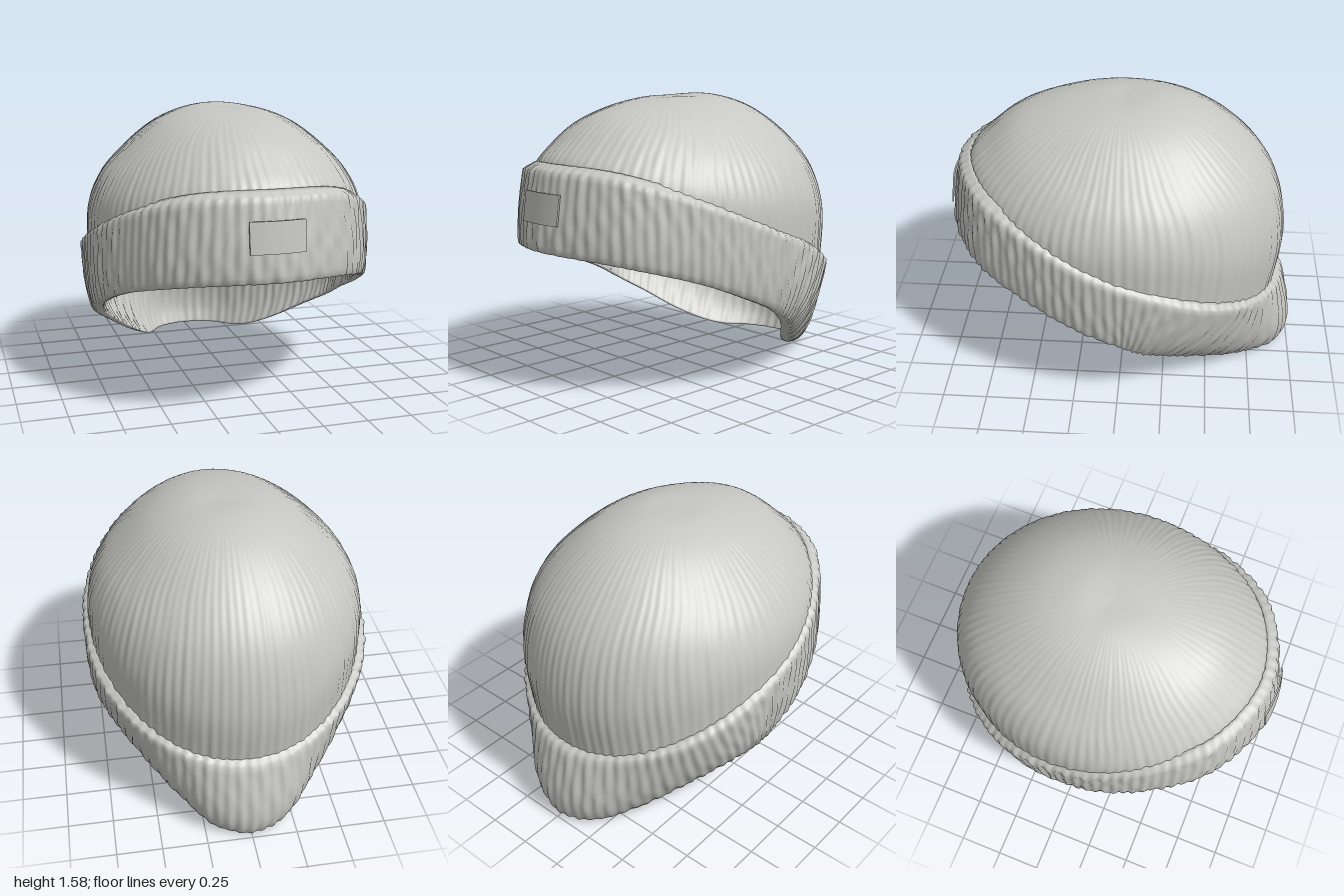
import * as THREE from 'three';

const SEGMENTS = 576, RIBS = 96, TAU = Math.PI * 2;

// Closed-around surface from rows of points; point(j, s) gives a Vector3, s in 0..1 around
function wrapSurface(rows, point, closeRows) {
  const pos = [], index = [];
  for (let j = 0; j < rows; j++) {
    for (let i = 0; i < SEGMENTS; i++) pos.push(...point(j, i / SEGMENTS).toArray());
  }
  const last = closeRows ? rows : rows - 1;
  for (let j = 0; j < last; j++) {
    for (let i = 0; i < SEGMENTS; i++) {
      const k = (i + 1) % SEGMENTS, n = ((j + 1) % rows) * SEGMENTS, m = j * SEGMENTS;
      index.push(m + i, n + i, m + k, m + k, n + i, n + k);
    }
  }
  const geo = new THREE.BufferGeometry();
  geo.setAttribute('position', new THREE.Float32BufferAttribute(pos, 3));
  geo.setIndex(index);
  geo.computeVertexNormals();
  return geo;
}

// Knitted ribs with slightly irregular wrinkles
function ribs(s, v) {
  const a = s * TAU;
  return 0.004 * Math.cos(a * RIBS)
    + 0.002 * Math.sin(a * 41 + 3 * Math.sin(v * 5 + a * 3))
    + 0.002 * Math.sin(a * 67 + 4 * Math.sin(v * 4 - a * 5));
}

// Smooth meridian through (radius, height) pairs
const meridian = (pairs) => new THREE.CatmullRomCurve3(pairs.map(([r, y]) => new THREE.Vector3(r, y, 0)));

// Closed loop from the points of its left half, mirrored to the right
function mirroredLoop(half) {
  const left = half.map((p) => new THREE.Vector3(...p));
  const right = left.slice(1, -1).reverse().map((p) => new THREE.Vector3(-p.x, p.y, p.z));
  const curve = new THREE.CatmullRomCurve3([...left, ...right], true);
  curve.arcLengthDivisions = 1000;
  return curve;
}

// Crown: front, side and back meridians blended around the apex
function crownGeometry() {
  const front = meridian([[0, 1.57], [0.2, 1.56], [0.4, 1.525], [0.6, 1.455], [0.76, 1.335], [0.86, 1.235], [0.88, 1.14]]);
  const side = meridian([[0, 1.57], [0.2, 1.56], [0.4, 1.48], [0.6, 1.31], [0.7, 1.19], [0.767, 1.03], [0.78, 0.74]]);
  const back = meridian([[0, 1.57], [0.22, 1.578], [0.45, 1.515], [0.68, 1.355], [0.85, 1.125], [0.922, 0.8], [0.88, 0.41]]);
  const rows = 48;
  return wrapSurface(rows, (j, s) => {
    const v = j / (rows - 1), sin = Math.sin(s * TAU), cos = Math.cos(s * TAU);
    const across = side.getPoint(v), along = (cos > 0 ? front : back).getPoint(v);
    const relief = ribs(s, v) * Math.min(1, v * 1.4) * 0.5;
    return new THREE.Vector3(
      (across.x + relief) * sin,
      across.y * sin * sin + along.y * cos * cos,
      (along.x + relief) * cos + 0.02 * (1 - v));
  }, false);
}

// Turned-up cuff: a closed wall section carried between the rim and the fold
function cuffGeometry() {
  const rim = mirroredLoop([
    [0, 0.78, 0.99], [0.455, 0.74, 0.8], [0.68, 0.645, 0.48], [0.765, 0.53, 0.2], [0.765, 0.44, 0],
    [0.73, 0.365, -0.12], [0.64, 0.28, -0.25], [0.475, 0.145, -0.44], [0.33, 0.045, -0.66],
    [0.19, 0.012, -0.88], [0, 0.002, -0.962]]);
  const fold = mirroredLoop([
    [0, 1.2, 0.935], [0.43, 1.17, 0.79], [0.68, 1.06, 0.485], [0.79, 0.94, 0.2], [0.81, 0.86, 0],
    [0.79, 0.765, -0.25], [0.72, 0.675, -0.45], [0.58, 0.58, -0.65], [0.4, 0.51, -0.8],
    [0.2, 0.47, -0.9], [0, 0.46, -0.935]]);
  // Section rows: [height share, outward offset, rib strength], sloping in to the crown at the top
  const section = [[1.09, -0.06, 0.4], [1.06, -0.042, 0.6], [1.03, -0.018, 0.9], [1, -0.002, 1]];
  for (let k = 1; k <= 14; k++) section.push([1 - k * 0.069, 0, 1]);
  section.push([0.005, -0.01, 0.7], [0, -0.03, 0.4], [0.005, -0.05, 0.5]);
  for (let k = 0; k <= 10; k++) section.push([0.03 + k * 0.095, -0.06, 0.8]);
  section.push([1.04, -0.065, 0.5]);
  return wrapSurface(section.length, (j, s) => {
    const [v, offset, strength] = section[j];
    const t = fold.getUtoTmapping(s);
    const p = rim.getPoint(t).lerp(fold.getPoint(t), v);
    const out = new THREE.Vector3(p.x / 0.65, 0, p.z / 0.9).normalize();
    // The wall swells low down, most around the back flap
    const back = Math.max(0, -out.z);
    const swell = 0.016 + 0.03 * back + 0.05 * back * Math.abs(out.x);
    const bulge = swell * Math.sin(Math.PI * THREE.MathUtils.clamp(v, 0, 1) ** 0.65);
    return p.addScaledVector(out, offset + bulge + ribs(s, v) * strength);
  }, true);
}

// Blank patch, bent to follow the front of the cuff
function patchGeometry() {
  const geo = new THREE.BoxGeometry(0.295, 0.162, 0.009, 16, 4, 1);
  const p = geo.attributes.position;
  for (let i = 0; i < p.count; i++) {
    const x = p.getX(i), y = p.getY(i);
    p.setZ(i, p.getZ(i) + 0.984 - 0.7 * x * x - 0.13 * y);
  }
  geo.translate(-0.003, 1.017, 0);
  geo.computeVertexNormals();
  return geo;
}

export function createModel() {
  const model = new THREE.Group();
  model.name = 'knitCap';
  const wool = new THREE.MeshStandardMaterial({ color: 0xc6c6c2, side: THREE.DoubleSide });
  wool.name = 'greyWool';
  const add = (name, geometry) => {
    const mesh = new THREE.Mesh(geometry, wool);
    mesh.name = name;
    model.add(mesh);
  };
  add('crown', crownGeometry());
  add('cuff', cuffGeometry());
  add('patch', patchGeometry());
  return model;
}
